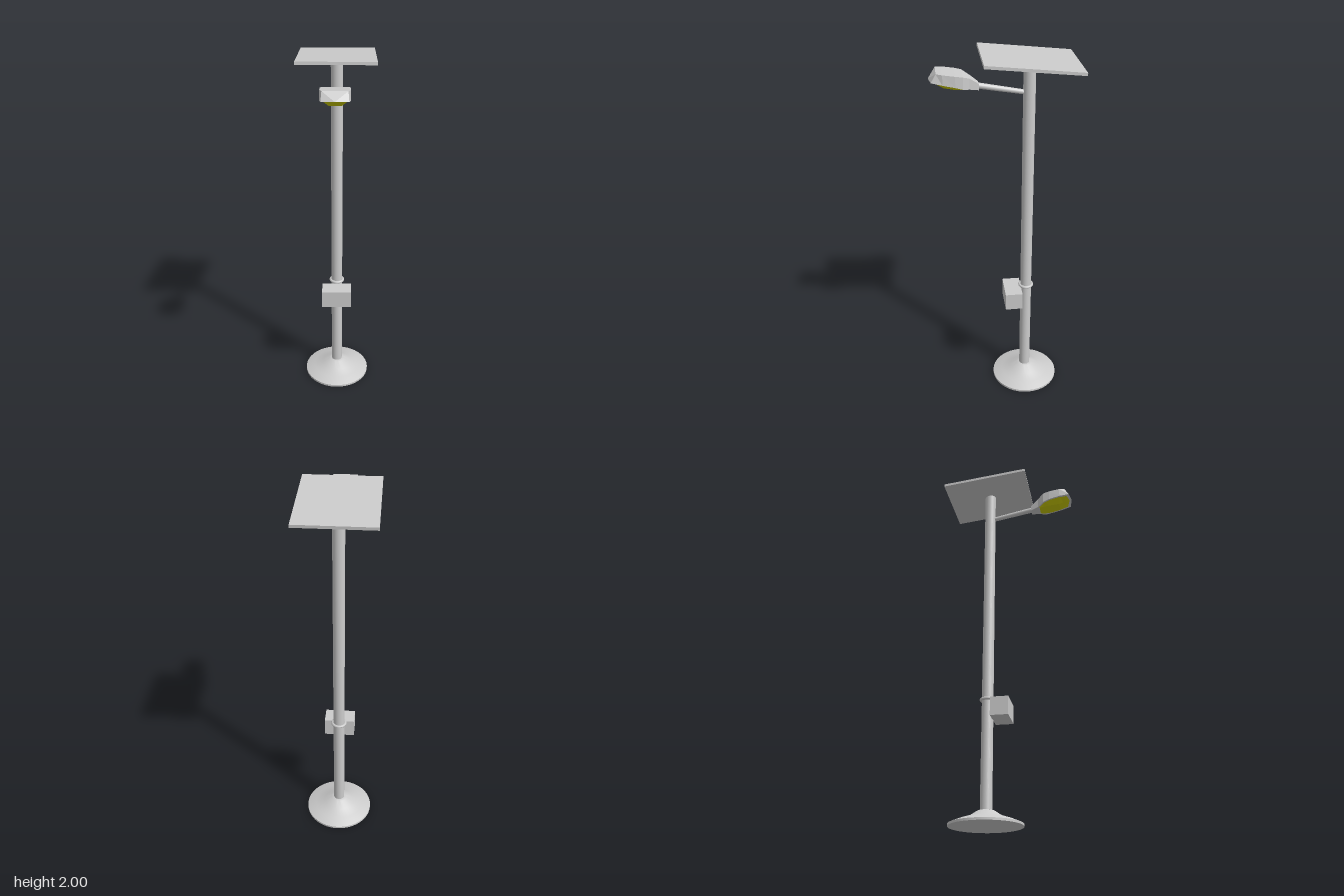
import * as THREE from 'three';
import { toCreasedNormals } from 'three/addons/utils/BufferGeometryUtils.js';

const grey = new THREE.MeshStandardMaterial({ color: 0xcccccc });
const facetGrey = new THREE.MeshStandardMaterial({ color: 0xcccccc, flatShading: true });
const yellow = new THREE.MeshStandardMaterial({ color: 0xcccc00, flatShading: true });
const POLE_Z = -0.125;

// Joins four-cornered sections: [topX, topY, topZ, bottomX, bottomY, bottomZ]
function loftSections(sections) {
  const pos = [], index = [];
  for (const [tx, ty, tz, bx, by, bz] of sections) {
    pos.push(-tx, ty, tz, tx, ty, tz, bx, by, bz, -bx, by, bz);
  }
  for (let s = 0; s < sections.length - 1; s++) {
    for (let k = 0; k < 4; k++) {
      const a = s * 4 + k, b = s * 4 + (k + 1) % 4;
      index.push(a, a + 4, b, b, a + 4, b + 4);
    }
  }
  const e = (sections.length - 1) * 4;
  index.push(0, 1, 2, 0, 2, 3, e, e + 2, e + 1, e, e + 3, e + 2);
  const geo = new THREE.BufferGeometry();
  geo.setAttribute('position', new THREE.Float32BufferAttribute(pos, 3));
  geo.setIndex(index);
  geo.computeVertexNormals();
  return geo;
}

export function createModel() {
  const model = new THREE.Group();
  model.name = 'solarStreetLamp';
  const add = (name, geometry, material, x = 0, y = 0, z = 0) => {
    const mesh = new THREE.Mesh(geometry, material);
    mesh.name = name;
    mesh.position.set(x, y, z);
    model.add(mesh);
    return mesh;
  };

  // Flared foot
  const profile = [[0, 0], [0.19, 0], [0.19, 0.012], [0.14, 0.032], [0.085, 0.05], [0.045, 0.076], [0.03, 0.08], [0, 0.08]]
    .map(([r, y]) => new THREE.Vector2(r, y));
  add('base', toCreasedNormals(new THREE.LatheGeometry(profile, 40), 0.5), grey, 0, 0, POLE_Z);

  // Pole with its collar
  add('pole', new THREE.CylinderGeometry(0.031, 0.031, 1.885, 32), grey, 0, 1.0225, POLE_Z);
  const collar = add('collar', new THREE.TorusGeometry(0.035, 0.008, 10, 32), grey, 0, 0.657, POLE_Z);
  collar.rotation.x = Math.PI / 2;

  // Control box on the front of the pole
  add('controlBox', new THREE.BoxGeometry(0.166, 0.1, 0.096), grey, 0, 0.595, -0.048);

  // Tilted solar panel
  const panel = add('solarPanel', new THREE.BoxGeometry(0.39, 0.015, 0.482), grey, 0, 1.9675, POLE_Z);
  panel.rotation.x = -0.104;

  // Arm from the pole to the lamp
  const start = new THREE.Vector3(0, 1.8, -0.12), end = new THREE.Vector3(0, 1.847, 0.14);
  const arm = add('arm', new THREE.CylinderGeometry(0.015, 0.012, start.distanceTo(end), 20), grey);
  arm.position.copy(start).lerp(end, 0.5);
  arm.quaternion.setFromUnitVectors(new THREE.Vector3(0, 1, 0), end.clone().sub(start).normalize());

  // Lamp housing, widening from the neck to a pointed nose
  add('lampHousing', loftSections([
    [0.021, 1.86, 0.125, 0.021, 1.828, 0.125],
    [0.036, 1.892, 0.17, 0.036, 1.838, 0.17],
    [0.065, 1.908, 0.203, 0.065, 1.848, 0.203],
    [0.071, 1.915, 0.24, 0.071, 1.86, 0.24],
    [0.071, 1.924, 0.3, 0.072, 1.874, 0.3],
    [0.06, 1.927, 0.33, 0.064, 1.886, 0.355],
    [0, 1.889, 0.367, 0, 1.889, 0.367],
  ]), facetGrey);

  // Lens bulging below the housing
  add('lens', loftSections([
    [0.034, 1.845, 0.175, 0.028, 1.836, 0.178],
    [0.06, 1.853, 0.205, 0.034, 1.836, 0.2],
    [0.066, 1.864, 0.24, 0.036, 1.839, 0.24],
    [0.066, 1.878, 0.3, 0.03, 1.848, 0.295],
    [0.058, 1.887, 0.345, 0.02, 1.862, 0.318],
    [0, 1.886, 0.354, 0, 1.882, 0.35],
  ]), yellow);

  return model;
}
